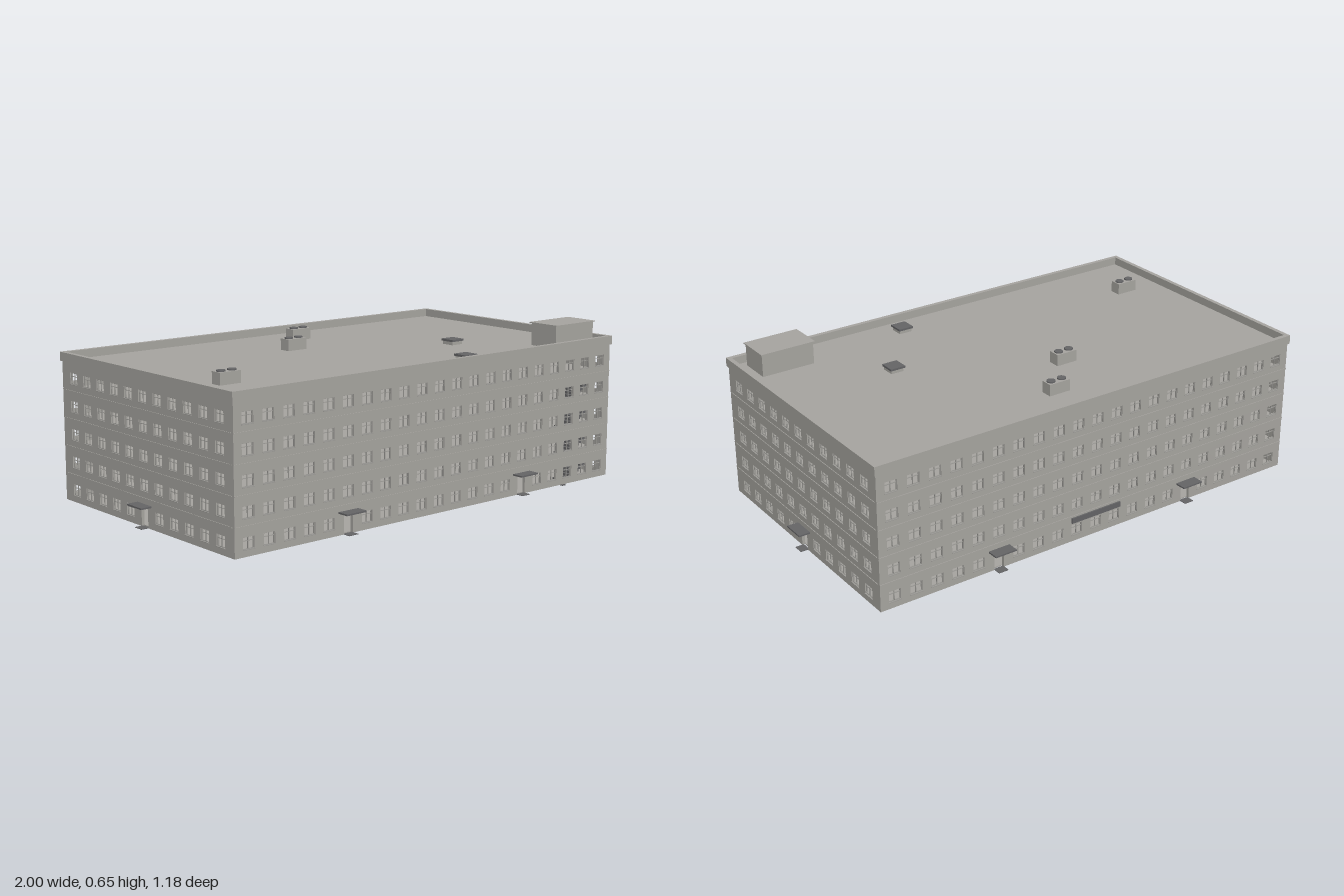
import * as THREE from 'three';
import { mergeGeometries } from 'three/addons/utils/BufferGeometryUtils.js';

const wallMat = new THREE.MeshStandardMaterial({ name: 'concrete', color: 0xa6a49f });
const frameMat = new THREE.MeshStandardMaterial({ name: 'windowFrame', color: 0x9a9995 });
const darkMat = new THREE.MeshStandardMaterial({ name: 'darkMetal', color: 0x646466 });

const BASE = 0.012, STOREY = 0.109, FLOORS = 5, TOP = BASE + STOREY * FLOORS;
const HX = 0.954, HZ = 0.545, T = 0.012;
const WIN_W = 0.05, WIN_H = 0.044, DOOR_W = 0.042, DOOR_TOP = 0.083;

// box geometry given by its centre and size
function box(x, y, z, w, h, d) {
  return new THREE.BoxGeometry(w, h, d).translate(x, y, z);
}

function add(parent, name, geometry, material) {
  const mesh = new THREE.Mesh(geometry, material);
  mesh.name = name;
  parent.add(mesh);
  return mesh;
}

// one facade, outer face on local z = 0: pierced wall, frames, ledges and entrances
function facade(name, halfLength, columns, spacing, doors) {
  const group = new THREE.Group();
  group.name = name;
  const mid = (columns - 1) / 2;
  const shape = new THREE.Shape();
  shape.moveTo(-halfLength, BASE);
  for (const d of doors) {
    const x = (d - mid) * spacing, w = DOOR_W / 2;
    shape.lineTo(x - w, BASE);
    shape.lineTo(x - w, DOOR_TOP);
    shape.lineTo(x + w, DOOR_TOP);
    shape.lineTo(x + w, BASE);
  }
  shape.lineTo(halfLength, BASE);
  shape.lineTo(halfLength, TOP);
  shape.lineTo(-halfLength, TOP);
  shape.closePath();

  const bars = [];
  for (let row = 0; row < FLOORS; row++) {
    const y = 0.06 + row * STOREY;
    for (let col = 0; col < columns; col++) {
      if (row === 0 && doors.includes(col)) continue;
      const x = (col - mid) * spacing, w = WIN_W / 2, h = WIN_H / 2;
      const hole = new THREE.Path();
      hole.moveTo(x - w, y - h);
      hole.lineTo(x - w, y + h);
      hole.lineTo(x + w, y + h);
      hole.lineTo(x + w, y - h);
      hole.closePath();
      shape.holes.push(hole);
      // frame sides, mullion, transom and sill
      for (const s of [-1, 1]) {
        bars.push(box(x + s * (w - 0.001), y, -0.006, 0.002, WIN_H, 0.004));
        bars.push(box(x, y + s * (h - 0.001), -0.006, WIN_W, 0.002, 0.004));
      }
      bars.push(box(x, y, -0.006, 0.0025, WIN_H, 0.004));
      bars.push(box(x, y + 0.008, -0.006, WIN_W, 0.002, 0.004));
      bars.push(box(x, y - h - 0.0005, 0, WIN_W + 0.002, 0.002, 0.006));
    }
  }
  const wall = new THREE.ExtrudeGeometry(shape, { depth: T, bevelEnabled: false });
  add(group, 'wall', wall.translate(0, 0, -T), wallMat);
  add(group, 'windowFrames', mergeGeometries(bars), frameMat);

  // thin ledge at every floor level
  const ledges = [];
  for (let k = 1; k < FLOORS; k++) {
    ledges.push(box(0, BASE + k * STOREY, 0.001, 2 * halfLength, 0.003, 0.003));
  }
  add(group, 'floorLedges', mergeGeometries(ledges), wallMat);

  // canopy and step at each entrance
  for (const d of doors) {
    const x = (d - mid) * spacing;
    add(group, 'canopy', box(x, 0.096, 0.018, 0.092, 0.006, 0.056), darkMat);
    add(group, 'entranceStep', box(x, 0.013, 0.012, DOOR_W, 0.002, 0.036), darkMat);
  }
  return group;
}

export function createModel() {
  const model = new THREE.Group();
  model.name = 'officeBuilding';

  // four facades
  for (const s of [1, -1]) {
    const long = facade(s > 0 ? 'frontFacade' : 'backFacade', HX, 21, 0.0894, [5, 15]);
    long.rotation.y = s > 0 ? 0 : Math.PI;
    long.position.z = s * HZ;
    const short = facade(s > 0 ? 'leftFacade' : 'rightFacade', HZ - T, 11, 0.0932, [5]);
    short.rotation.y = s * Math.PI / 2;
    short.position.x = s * HX;
    model.add(long, short);
  }

  // ground slab, upper floors and roof
  for (let k = 0; k <= FLOORS; k++) {
    const name = k === 0 ? 'groundSlab' : k === FLOORS ? 'roof' : 'floorSlab';
    const slab = box(0, BASE + k * STOREY + 0.001, 0, 2 * (HX - T), 0.004, 2 * (HZ - T));
    add(model, name, slab, wallMat);
  }

  // parapet ring
  const rect = (path, x, z) => {
    path.moveTo(-x, -z);
    path.lineTo(x, -z);
    path.lineTo(x, z);
    path.lineTo(-x, z);
    path.closePath();
    return path;
  };
  const ring = rect(new THREE.Shape(), 0.96, 0.551);
  ring.holes.push(rect(new THREE.Path(), 0.942, 0.533));
  const parapet = new THREE.ExtrudeGeometry(ring, { depth: 0.035, bevelEnabled: false });
  add(model, 'parapet', parapet.rotateX(-Math.PI / 2).translate(0, TOP, 0), wallMat);

  // rooftop stair hut with a thin overhanging cap
  add(model, 'roofHut', box(0.786, 0.606, 0.436, 0.22, 0.09, 0.132), wallMat);
  add(model, 'roofHutCap', box(0.786, 0.653, 0.436, 0.23, 0.004, 0.146), wallMat);

  // ventilation boxes with twin round outlets
  for (const [x, z] of [[0.065, -0.372], [-0.12, -0.172], [-0.775, 0.268]]) {
    const vent = new THREE.Group();
    vent.name = 'ventUnit';
    vent.position.set(x, 0, z);
    add(vent, 'ventBox', box(0, 0.583, 0, 0.092, 0.046, 0.048), wallMat);
    for (const s of [-1, 1]) {
      const outlet = new THREE.CylinderGeometry(0.017, 0.017, 0.006, 20);
      add(vent, 'ventOutlet', outlet.translate(s * 0.024, 0.608, 0), darkMat);
    }
    model.add(vent);
  }

  // roof hatches
  for (const [x, z] of [[0.458, 0.138], [0.228, 0.447]]) {
    add(model, 'hatchCurb', box(x, 0.567, z, 0.054, 0.014, 0.054), wallMat);
    add(model, 'hatchLid', box(x, 0.578, z, 0.064, 0.008, 0.064), darkMat);
  }

  // stair flights inside the front left corner
  const steps = [];
  for (let k = 0; k < FLOORS - 1; k++) {
    for (let i = 0; i < 12; i++) {
      steps.push(box(0.712 + i * 0.0155, 0.007 + k * STOREY + i * 0.0091, 0.499, 0.0165, 0.012, 0.068));
    }
  }
  add(model, 'stairs', mergeGeometries(steps), darkMat);

  // plain strip on the back wall
  add(model, 'backStrip', box(0, 0.102, -HZ - 0.003, 0.23, 0.022, 0.006), darkMat);

  // centre and stand on the ground
  const bounds = new THREE.Box3().setFromObject(model);
  const shift = new THREE.Vector3(0, -bounds.min.y, 0);
  for (const part of model.children) part.position.add(shift);
  return model;
}
